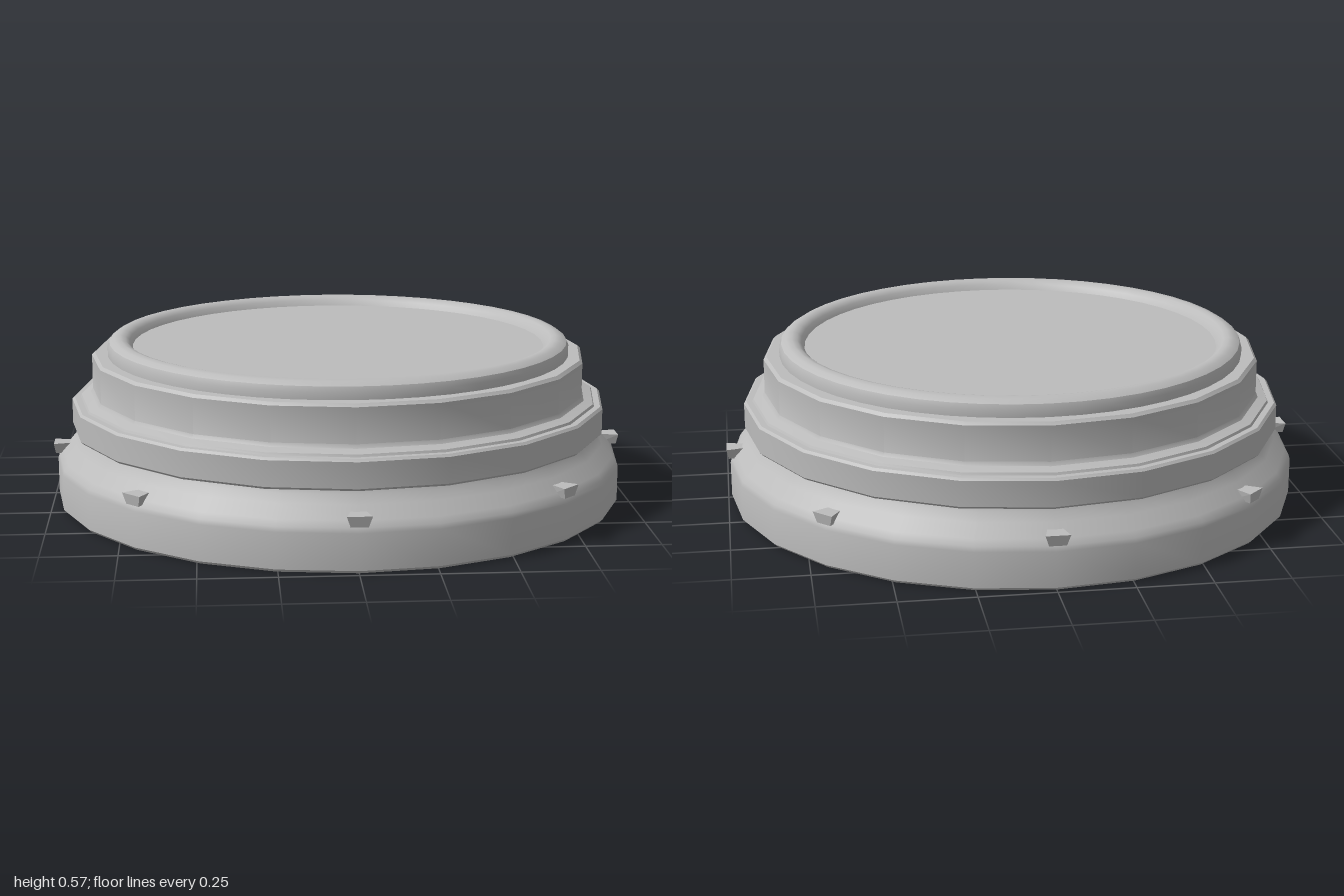
import * as THREE from 'three';
import { toCreasedNormals } from 'three/addons/utils/BufferGeometryUtils.js';

export function createModel() {
  const model = new THREE.Group();
  const grey = new THREE.MeshStandardMaterial({ color: 0xbcbcbc });
  grey.name = 'light grey';

  const add = (name, geometry, parent = model) => {
    const mesh = new THREE.Mesh(geometry, grey);
    mesh.name = name;
    parent.add(mesh);
    return mesh;
  };

  // Turned part from a [radius, height] profile running bottom to top
  const turned = (name, profile, sides) => {
    const points = profile.map(([r, y]) => new THREE.Vector2(r, y));
    add(name, toCreasedNormals(new THREE.LatheGeometry(points, sides), 0.6));
  };

  // Wide foot with a rounded shoulder
  turned('base', [
    [0, 0], [0.978, 0], [0.988, 0.01], [0.988, 0.13], [0.983, 0.146], [0.968, 0.165],
    [0.93, 0.205], [0.908, 0.232], [0.9, 0.25], [0, 0.25],
  ], 24);

  // Flange band above the foot
  turned('flange', [
    [0, 0.248], [0.925, 0.248], [0.933, 0.256], [0.933, 0.342], [0.925, 0.35], [0, 0.35],
  ], 20);

  // Upper drum with a small flared skirt
  turned('drum', [
    [0.905, 0.348], [0.9, 0.358], [0.868, 0.368], [0.86, 0.38],
    [0.86, 0.498], [0.85, 0.508], [0, 0.508],
  ], 20);

  // Raised rim and recessed top plate
  turned('rim', [
    [0.805, 0.505], [0.805, 0.532], [0.798, 0.55], [0.78, 0.562], [0.76, 0.566],
    [0.742, 0.561], [0.728, 0.55], [0.716, 0.528],
  ], 48);
  turned('topPlate', [[0.72, 0.531], [0, 0.531]], 48);

  // Eight tapered studs, wider towards the outside and the top
  const studGeometry = new THREE.BoxGeometry(0.08, 0.036, 0.07).toNonIndexed();
  const p = studGeometry.attributes.position;
  for (let i = 0; i < p.count; i++) {
    const low = p.getY(i) < 0, inner = p.getZ(i) < 0;
    p.setX(i, p.getX(i) * (low ? 0.7 : 1) * (inner ? 0.55 : 1));
    if (low && !inner) p.setZ(i, p.getZ(i) - 0.006);
  }
  studGeometry.computeVertexNormals();
  const studs = new THREE.Group();
  studs.name = 'studs';
  model.add(studs);
  for (let i = 0; i < 8; i++) {
    const a = (i * Math.PI) / 4;
    const stud = add('stud', studGeometry, studs);
    stud.position.set(Math.sin(a) * 0.965, 0.17, Math.cos(a) * 0.965);
    stud.rotation.y = a;
  }
  return model;
}
